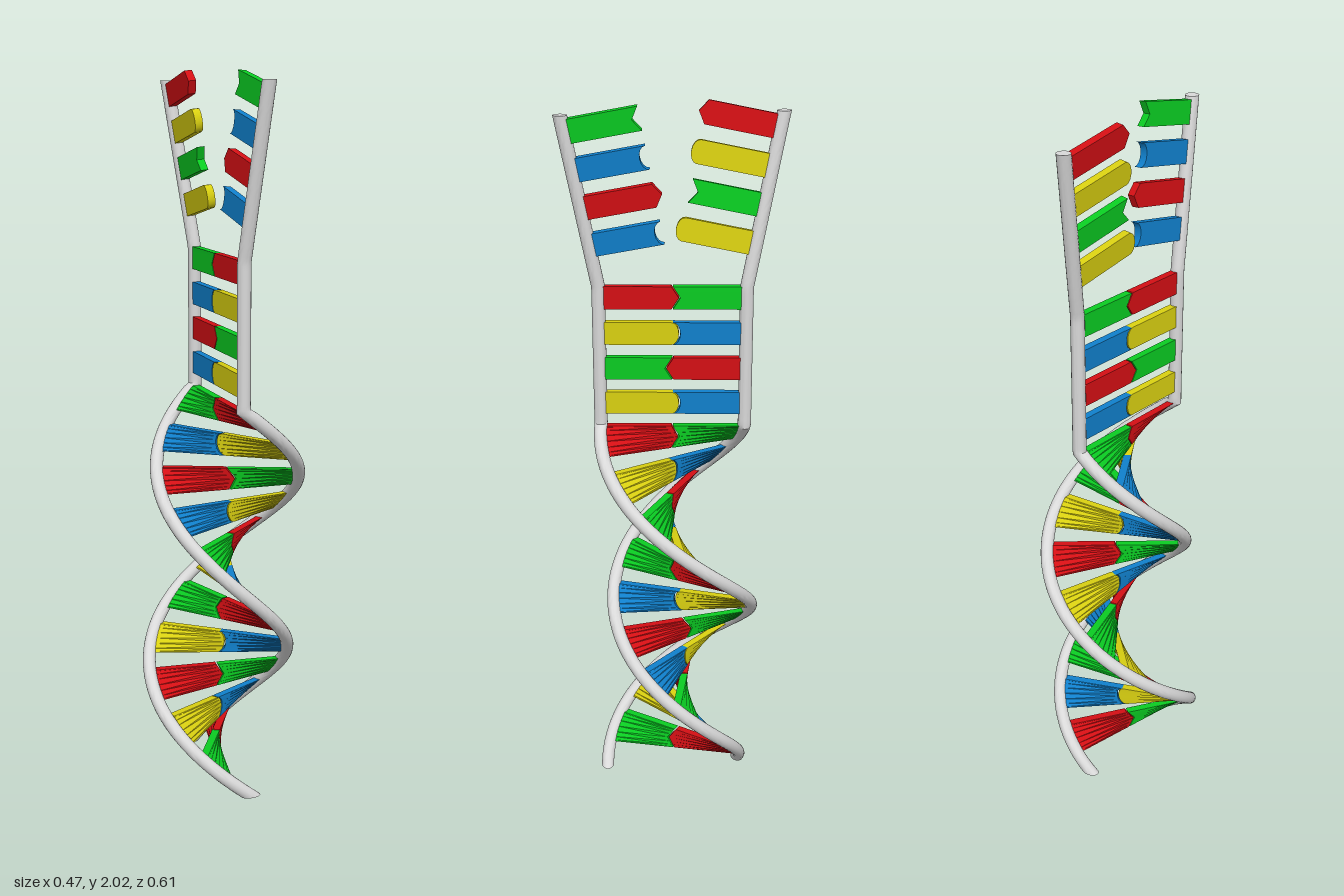
import * as THREE from 'three';
import { toCreasedNormals } from 'three/addons/utils/BufferGeometryUtils.js';

const mat = (name, color) => new THREE.MeshStandardMaterial({ name, color });
const HELIX_TOP = 1.13, BEND = 1.53, TOP = 1.995;
const TUBE_R = 0.0188, CHORD = 0.41;
const UP = new THREE.Vector3(0, 1, 0);

// Strand centre lines: helix, then straight, then leaning apart
function makeStrand(radius, lag, sign, lean) {
  return (y) => {
    const phi = (Math.min(y, HELIX_TOP) - 0.215) * Math.PI / 0.555 - lag;
    const p = new THREE.Vector3(sign * radius * Math.cos(phi), y, sign * radius * Math.sin(phi));
    const k = Math.max(0, y - BEND) / (TOP - BEND);
    p.x += lean[0] * k;
    p.z += lean[1] * k;
    return p;
  };
}
const strandA = makeStrand(0.2165, 0, -1, [-0.002, 0.093]);
const strandB = makeStrand(0.189, 0.18, 1, [-0.012, -0.103]);

// Solid through a stack of rings, closed at both ends
function loft(rings) {
  const n = rings[0].length, last = (rings.length - 1) * n, index = [];
  for (let i = 0; i < rings.length - 1; i++) {
    for (let j = 0; j < n; j++) {
      const a = i * n + j, b = i * n + (j + 1) % n;
      index.push(a, a + n, b, b, a + n, b + n);
    }
  }
  for (let j = 1; j < n - 1; j++) {
    index.push(0, j, j + 1, last, last + j + 1, last + j);
  }
  const geo = new THREE.BufferGeometry().setFromPoints(rings.flat());
  geo.setIndex(index);
  return toCreasedNormals(geo, 0.6);
}

// Round rail cut by level planes, so both ends are flat
function railGeometry(strand) {
  const rings = [], rows = 160, sides = 18;
  for (let i = 0; i <= rows; i++) {
    const y = i / rows * TOP;
    const c = strand(y);
    const d = strand(y + 0.008).sub(strand(y - 0.008)).divideScalar(0.016).setY(0);
    const stretch = Math.sqrt(1 + d.lengthSq()) - 1;
    d.normalize();
    rings.push(Array.from({ length: sides }, (_, j) => {
      const a = j / sides * Math.PI * 2;
      const o = new THREE.Vector3(Math.cos(a), 0, Math.sin(a)).multiplyScalar(TUBE_R);
      return o.addScaledVector(d, o.dot(d) * stretch).add(c);
    }));
  }
  return loft(rings);
}

// Inner end of a half rung: point, notch, round or hollow
const endShape = {
  red: (v) => 0.485 + 0.05 * (1 - Math.abs(v)),
  green: (v) => 0.49 - 0.05 * (1 - Math.abs(v)),
  yellow: (v) => 0.485 + 0.05 * Math.sqrt(Math.max(0, 1 - v * v)),
  blue: (v) => 0.49 - 0.05 * Math.sqrt(Math.max(0, 1 - v * v)),
};

// Half rung from one strand towards the other, twisting with the helix
function halfRung(own, other, y, color, open) {
  const rings = [], halfHeight = 0.032, halfThick = 0.011;
  const v = open ? own(TOP).sub(own(BEND)).normalize() : UP;
  for (let k = -4; k <= 4; k++) {
    const f = Math.sin(k * Math.PI / 8), h = f * halfHeight;
    const base = open ? own(y).addScaledVector(v, h) : own(y + h);
    const at = open ? 1.4 : y + h;
    const u = other(at).sub(own(at));
    u.addScaledVector(v, -u.dot(v)).normalize();
    const w = new THREE.Vector3().crossVectors(u, v);
    const end = endShape[color](f) * CHORD;
    const corners = [[0, -1], [end, -1], [end, 1], [0, 1]];
    rings.push(corners.map(([s, t]) =>
      base.clone().addScaledVector(u, s).addScaledVector(w, t * halfThick)));
  }
  return loft(rings);
}

export function createModel() {
  const model = new THREE.Group();
  model.name = 'doubleHelix';
  const mats = {
    rail: mat('light grey', 0xd9d9d9),
    red: mat('red', 0xd40f14),
    green: mat('green', 0x0acc22),
    yellow: mat('yellow', 0xd9d011),
    blue: mat('blue', 0x1080cc),
  };
  const add = (geo, material, name) => {
    const mesh = new THREE.Mesh(geo, material);
    mesh.name = name;
    model.add(mesh);
  };

  // Rails
  add(railGeometry(strandA), mats.rail, 'firstRail');
  add(railGeometry(strandB), mats.rail, 'secondRail');

  // Joined rungs, in a repeating colour order
  const partner = { red: 'green', green: 'red', yellow: 'blue', blue: 'yellow' };
  const order = ['green', 'yellow', 'red', 'yellow'];
  const addRung = (y, color, open, name) => {
    const mate = partner[color];
    add(halfRung(strandA, strandB, y, color, open), mats[color], name + 'First');
    add(halfRung(strandB, strandA, y, mate, open), mats[mate], name + 'Second');
  };
  for (let i = 0; i < 15; i++) addRung(0.082 + i * 0.1014, order[i % 4], false, 'rung');

  // Parted rungs at the open top
  ['blue', 'red', 'blue', 'green'].forEach((color, i) =>
    addRung(1.648 + i * 0.1014, color, true, 'openRung'));

  return model;
}
